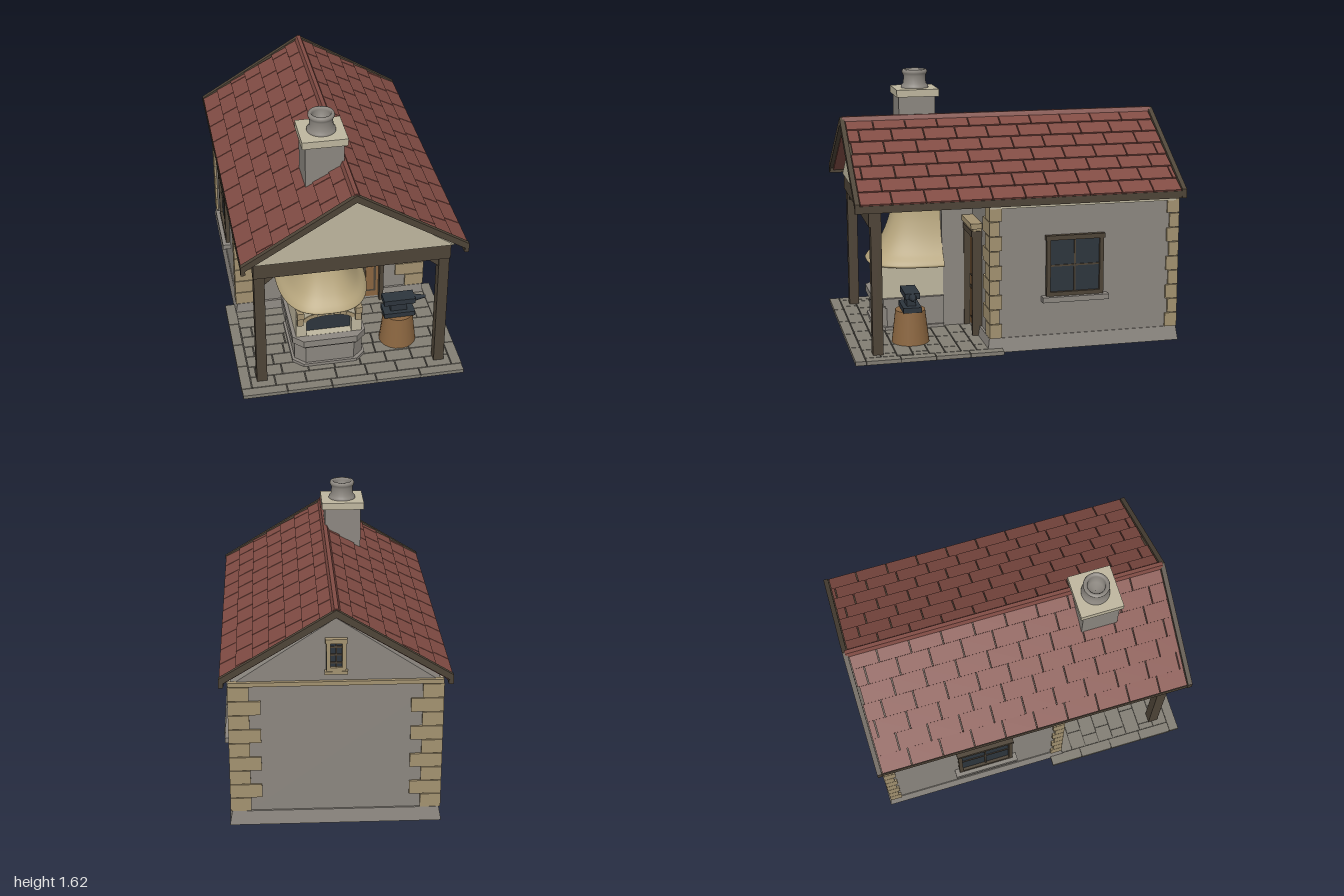
import * as THREE from 'three';
import { ParametricGeometry } from 'three/addons/geometries/ParametricGeometry.js';

const mat = (name, color, side = THREE.FrontSide) => {
  const m = new THREE.MeshStandardMaterial({ color, side });
  m.name = name;
  return m;
};

export function createModel() {
  const wall = mat('grey plaster', 0x8c8780), stone = mat('sandstone', 0xa39270);
  const hoodTan = mat('hood tan', 0xb5a47c, THREE.DoubleSide), cream = mat('cream', 0xbfb79f);
  const timber = mat('dark timber', 0x4e4437), tile = mat('roof red', 0x804b43);
  const wood = mat('warm wood', 0x8b6640), iron = mat('dark iron', 0x2d353d);
  const paving = mat('paving grey', 0x827e74), joint = mat('joint grey', 0x4b4842);

  const model = new THREE.Group();
  model.name = 'forgeHouse';
  const group = (name, parent = model) => {
    const g = new THREE.Group();
    g.name = name;
    parent.add(g);
    return g;
  };
  const add = (parent, name, geo, m) => {
    const mesh = new THREE.Mesh(geo, m);
    mesh.name = name;
    parent.add(mesh);
    return mesh;
  };
  // Box given by its extents
  const box = (parent, name, m, x0, x1, y0, y1, z0, z1) => {
    const b = add(parent, name, new THREE.BoxGeometry(Math.abs(x1 - x0), y1 - y0, z1 - z0), m);
    b.position.set((x0 + x1) / 2, (y0 + y1) / 2, (z0 + z1) / 2);
    return b;
  };
  // Outline in x and y, extruded from z0 to z1
  const slab = (parent, name, m, pts, z0, z1, hole) => {
    const s = new THREE.Shape(pts.map(p => new THREE.Vector2(...p)));
    if (hole) s.holes.push(new THREE.Path(hole.map(p => new THREE.Vector2(...p))));
    const geo = new THREE.ExtrudeGeometry(s, { depth: z1 - z0, bevelEnabled: false });
    return add(parent, name, geo.translate(0, 0, z0), m);
  };

  // House walls, flared plinth and gable
  const house = group('house');
  box(house, 'walls', wall, -0.595, 0.595, 0.02, 0.9, -0.96, 0.18);
  const plinthGeo = new THREE.BoxGeometry(1.2, 0.085, 1.165);
  const pp = plinthGeo.attributes.position;
  for (let i = 0; i < pp.count; i++) {
    if (pp.getY(i) < 0) pp.setXYZ(i, pp.getX(i) * 1.025, pp.getY(i), pp.getZ(i) * 1.02);
  }
  plinthGeo.computeVertexNormals();
  add(house, 'plinth', plinthGeo, wall).position.set(0, 0.0525, -0.389);
  const gable = [[-0.59, 0.9], [0.59, 0.9], [0, 1.295]];
  slab(house, 'backGable', wall, gable, -0.96, 0.2);
  slab(house, 'porchGable', cream, gable, 0.2, 0.9);
  box(house, 'backCornice', stone, -0.605, 0.605, 0.895, 0.92, -0.98, -0.95);
  for (const s of [-1, 1]) box(house, 'sideCornice', cream, s * 0.59, s * 0.61, 0.88, 0.905, -0.95, 0.19);

  // Alternating corner stones
  const quoins = group('cornerStones', house);
  for (const s of [-1, 1]) for (const front of [true, false]) for (let i = 0; i < 9; i++) {
    const w = i % 2 ? 0.185 : 0.12, d = i % 2 ? 0.06 : 0.075, y = 0.097 + i * 0.0885;
    const z0 = front ? 0.193 - d : -0.973;
    box(quoins, 'cornerStone', stone, s * (0.609 - w), s * 0.609, y, y + 0.084, z0, z0 + d);
  }

  // Coloured underside panels
  const under = group('underside', house);
  [[iron, iron, wood], [wall, wall, cream], [wood, timber, tile]].forEach((row, r) => row.forEach((m, c) => {
    const x = 0.6 - c * 0.4, z = -0.96 + r * 0.37;
    box(under, 'undersidePanel', m, x - 0.4, x, 0.005, 0.009, z, z + 0.37);
  }));

  // Windows, built facing +z and turned into place
  const makeWindow = (name, w, h, cols, rows, frameMat, t) => {
    const g = group(name, house);
    box(g, 'glass', iron, -w / 2, w / 2, 0, h, 0, 0.008);
    for (const s of [-1, 1]) box(g, 'jamb', frameMat, s * (w / 2 - t), s * w / 2, 0, h, 0, 0.026);
    box(g, 'header', frameMat, -w / 2 - 0.006, w / 2 + 0.006, h - t, h + 0.004, 0, 0.03);
    box(g, 'bottomRail', frameMat, -w / 2, w / 2, 0, t, 0, 0.026);
    for (let i = 1; i < cols; i++) {
      const x = -w / 2 + w * i / cols;
      box(g, 'upright', timber, x - 0.005, x + 0.005, t, h - t, 0, 0.015);
    }
    for (let i = 1; i < rows; i++) box(g, 'crossbar', timber, -w / 2, w / 2, h * i / rows - 0.005, h * i / rows + 0.005, 0, 0.014);
    return g;
  };
  for (const s of [-1, 1]) {
    const g = makeWindow('sideWindow', 0.35, 0.365, 2, 2, timber, 0.024);
    box(g, 'sill', wall, -0.203, 0.203, -0.032, 0, 0, 0.05);
    g.rotation.y = s * Math.PI / 2;
    g.position.set(s * 0.595, 0.337, -0.325);
  }
  const vent = makeWindow('gableWindow', 0.11, 0.19, 2, 4, stone, 0.022);
  box(vent, 'sill', stone, -0.065, 0.065, -0.018, 0, 0, 0.03);
  vent.rotation.y = Math.PI;
  vent.position.set(0, 0.985, -0.96);

  // Panelled door
  const door = group('door');
  box(door, 'doorLeaf', wood, 0.09, 0.315, 0.035, 0.66, 0.18, 0.2);
  for (const [x0, x1] of [[0.108, 0.19], [0.212, 0.295]]) for (const [y0, y1] of [[0.09, 0.3], [0.36, 0.63]]) {
    box(door, 'panelGroove', timber, x0, x1, y0, y1, 0.2, 0.203);
    box(door, 'panel', wood, x0 + 0.016, x1 - 0.016, y0 + 0.016, y1 - 0.016, 0.2, 0.207);
  }
  for (const x of [0.065, 0.312]) box(door, 'doorJamb', timber, x, x + 0.026, 0.035, 0.66, 0.18, 0.238);
  box(door, 'doorHeader', timber, 0.055, 0.345, 0.655, 0.69, 0.18, 0.243);
  box(door, 'doorLintel', stone, 0.04, 0.352, 0.705, 0.738, 0.18, 0.25);
  box(door, 'doorLintelBase', stone, 0.05, 0.34, 0.69, 0.705, 0.18, 0.235);
  box(door, 'doorstep', paving, -0.01, 0.37, 0, 0.036, 0.18, 0.25);

  // Porch paving with border stones and staggered slabs
  const floor = group('paving');
  box(floor, 'pavingBed', joint, -0.665, 0.665, 0.01, 0.03, 0.12, 0.993);
  const row = (x0, x1, z0, z1, len, shift) => {
    for (let x = x0 - shift; x < x1 - 0.01; x += len) {
      const a = Math.max(x, x0), b = Math.min(x + len, x1);
      if (b - a > 0.02) box(floor, 'pavingStone', paving, a + 0.003, b - 0.003, 0.013, 0.036, z0 + 0.003, z1 - 0.003);
    }
  };
  row(-0.673, 0.673, 0.935, 1.0, 0.269, 0);
  for (let i = 0; i < 4; i++) for (const s of [-1, 1]) {
    box(floor, 'borderStone', paving, s * 0.613, s * 0.672, 0.013, 0.036, 0.118 + i * 0.205, 0.318 + i * 0.205);
  }
  for (let i = 0; i < 8; i++) row(-0.61, 0.61, 0.175 + i * 0.095, 0.27 + i * 0.095, 0.16 + (i % 3) * 0.025, (i * 0.07) % 0.15);

  // Porch posts, beam and braces
  const porch = group('porchFrame');
  box(porch, 'frontBeam', timber, -0.575, 0.575, 0.803, 0.899, 0.825, 0.893);
  for (const s of [-1, 1]) {
    box(porch, 'post', timber, s * 0.51, s * 0.572, 0.03, 0.899, 0.82, 0.882);
    const brace = box(porch, 'brace', timber, -0.07, 0.07, -0.016, 0.016, -0.02, 0.02);
    brace.position.set(s * 0.485, 0.782, 0.85);
    brace.rotation.z = -s * 0.7;
  }

  // Tiled roof: one slope repeated by a half turn
  const roof = group('roof');
  const rise = 0.4, run = 0.652, len = Math.hypot(rise, run), rows = 7, step = len / rows;
  for (const turn of [0, Math.PI]) {
    const side = group('roofSide', roof);
    side.position.set(0, 1.348, -0.01);
    side.rotation.y = turn;
    const slope = group('roofSlope', side);
    slope.rotation.z = -Math.atan2(rise, run);
    box(slope, 'roofDeck', tile, 0, len - 0.01, -0.04, -0.02, -0.965, 0.965);
    box(slope, 'tileUnderlay', timber, 0, len - 0.01, -0.02, -0.014, -0.965, 0.965);
    for (let i = 0; i < rows; i++) {
      const offset = [0, 0.1, 0.04, 0.14, 0.07, 0.17, 0.02][i];
      for (let z = -0.96 - offset; z < 0.95; z += 0.195) {
        const a = Math.max(z, -0.96), b = Math.min(z + 0.195, 0.96);
        if (b - a < 0.015) continue;
        const t = box(slope, 'roofTile', tile, i * step, (i + 1) * step - 0.002, -0.015, 0, a + 0.003, b - 0.003);
        t.rotation.z = 0.07;
      }
    }
    box(side, 'eaveBoard', timber, 0.628, 0.652, -0.448, -0.405, -0.985, 0.985);
  }
  const half = [[0.655, 0.955], [0.655, 0.9], [0.632, 0.9], [0.632, 0.927]];
  const barge = [[0, 1.357], ...half, [0, 1.312], ...half.map(([x, y]) => [-x, y]).reverse()];
  slab(roof, 'backBargeBoard', timber, barge.slice().reverse(), -1.0, -0.972);
  slab(roof, 'frontBargeBoard', timber, barge.slice().reverse(), 0.952, 0.98);
  slab(roof, 'ridgeCap', tile, [[-0.024, 1.333], [0.024, 1.333], [0.012, 1.36], [-0.012, 1.36]], -0.985, 0.965);

  // Chimney with cap and pot
  const chimney = group('chimney');
  const cx = -0.113;
  box(chimney, 'chimneyBreast', wall, -0.317, 0.085, 0.03, 0.9, 0.18, 0.376);
  box(chimney, 'chimneyStack', wall, cx - 0.113, cx + 0.113, 0.86, 1.475, 0.395, 0.618);
  box(chimney, 'chimneyCap', cream, cx - 0.133, cx + 0.133, 1.468, 1.512, 0.372, 0.632);
  const pot = [[0.085, 1.51], [0.083, 1.525], [0.07, 1.54], [0.067, 1.585], [0.075, 1.6], [0.078, 1.61], [0.074, 1.622],
    [0.06, 1.624], [0.052, 1.61], [0.05, 1.53], [0, 1.53]].map(p => new THREE.Vector2(...p));
  add(chimney, 'chimneyPot', new THREE.LatheGeometry(pot, 28), wall).position.set(cx, 0, 0.5);

  // Forge hearth with chamfered front corners
  const hearth = group('hearth');
  const hearthSlab = (name, m, hw, zf, c, y0, y1) => {
    const pts = [[-hw, -0.37], [-hw, c - zf], [c - hw, -zf], [hw - c, -zf], [hw, c - zf], [hw, -0.37]];
    const s = slab(hearth, name, m, pts, y0, y1);
    s.rotation.x = -Math.PI / 2;
    s.position.x = cx;
  };
  hearthSlab('hearthFoot', wall, 0.222, 0.8, 0.06, 0.035, 0.055);
  hearthSlab('hearthBase', wall, 0.207, 0.785, 0.06, 0.055, 0.175);
  hearthSlab('hearthMoulding', wall, 0.214, 0.795, 0.06, 0.175, 0.19);
  hearthSlab('hearthLedge', wall, 0.222, 0.808, 0.06, 0.19, 0.235);
  const arch = [[cx - 0.137, 0.236], [cx + 0.137, 0.236]];
  for (let i = 0; i <= 10; i++) {
    const a = Math.PI * i / 10;
    arch.push([cx + 0.137 * Math.cos(a), 0.335 + 0.04 * Math.sin(a)]);
  }
  slab(hearth, 'fireboxFront', cream, [[cx - 0.2, 0.235], [cx + 0.2, 0.235], [cx + 0.2, 0.432], [cx - 0.2, 0.432]], 0.7, 0.755, arch);
  box(hearth, 'fireboxBody', cream, cx - 0.2, cx + 0.2, 0.235, 0.432, 0.37, 0.7);
  box(hearth, 'fireOpening', iron, cx - 0.14, cx + 0.14, 0.236, 0.385, 0.7, 0.706);
  for (let i = 0; i < 9; i++) {
    const a = Math.PI * (0.1 + 0.1 * i);
    const v = box(hearth, 'archStone', stone, -0.017, 0.017, -0.012, 0.012, -0.004, 0.004);
    v.position.set(cx + 0.148 * Math.cos(a), 0.345 + 0.047 * Math.sin(a), 0.756);
    v.rotation.z = (a - Math.PI / 2) * 0.5;
  }
  for (const s of [-1, 1]) {
    const x = cx + s * 0.176;
    box(hearth, 'corbel', stone, x - 0.021, x + 0.021, 0.39, 0.432, 0.74, 0.79);
    box(hearth, 'corbelFoot', stone, x - 0.018, x + 0.018, 0.33, 0.39, 0.74, 0.775);
  }

  // Flared hood: rounded half plan [half width, depth, height]
  const ring = (name, pts) => {
    const path = new THREE.CatmullRomCurve3(pts.map(p => new THREE.Vector3(...p)));
    const p = new THREE.Vector3();
    add(hearth, name, new ParametricGeometry((u, v, out) => {
      path.getPoint(v, p);
      const a = Math.PI * (1 - u), c = Math.cos(a), e = 0.72;
      out.set(cx + p.x * Math.sign(c) * Math.abs(c) ** e, p.z, 0.374 + p.y * Math.max(0, Math.sin(a)) ** e);
    }, 40, 24), hoodTan);
  };
  ring('hoodUnderside', [[0.01, 0.01, 0.431], [0.15, 0.23, 0.431], [0.268, 0.44, 0.431]]);
  ring('hoodBody', [[0.268, 0.44, 0.431], [0.276, 0.448, 0.44], [0.268, 0.438, 0.458], [0.225, 0.39, 0.51],
    [0.185, 0.34, 0.59], [0.155, 0.3, 0.69], [0.139, 0.276, 0.79], [0.134, 0.27, 0.85]]);
  ring('hoodCollar', [[0.134, 0.27, 0.838], [0.145, 0.281, 0.846], [0.147, 0.283, 0.858], [0.14, 0.277, 0.87]]);
  ring('hoodTop', [[0.14, 0.277, 0.87], [0.07, 0.14, 0.87], [0.01, 0.01, 0.87]]);

  // Anvil on a stump
  const anvil = group('anvil');
  anvil.position.set(0.342, 0, 0.622);
  add(anvil, 'stump', new THREE.CylinderGeometry(0.09, 0.114, 0.2, 20), wood).position.y = 0.135;
  box(anvil, 'anvilFoot', iron, -0.097, 0.095, 0.235, 0.266, -0.055, 0.055);
  box(anvil, 'anvilWaist', iron, -0.052, 0.05, 0.266, 0.322, -0.028, 0.028);
  box(anvil, 'anvilFace', iron, -0.097, 0.098, 0.32, 0.355, -0.045, 0.045);
  const horn = add(anvil, 'anvilHorn', new THREE.CylinderGeometry(0.008, 0.024, 0.075, 10), iron);
  horn.rotation.z = -Math.PI / 2;
  horn.position.set(0.133, 0.331, 0);

  return model;
}
